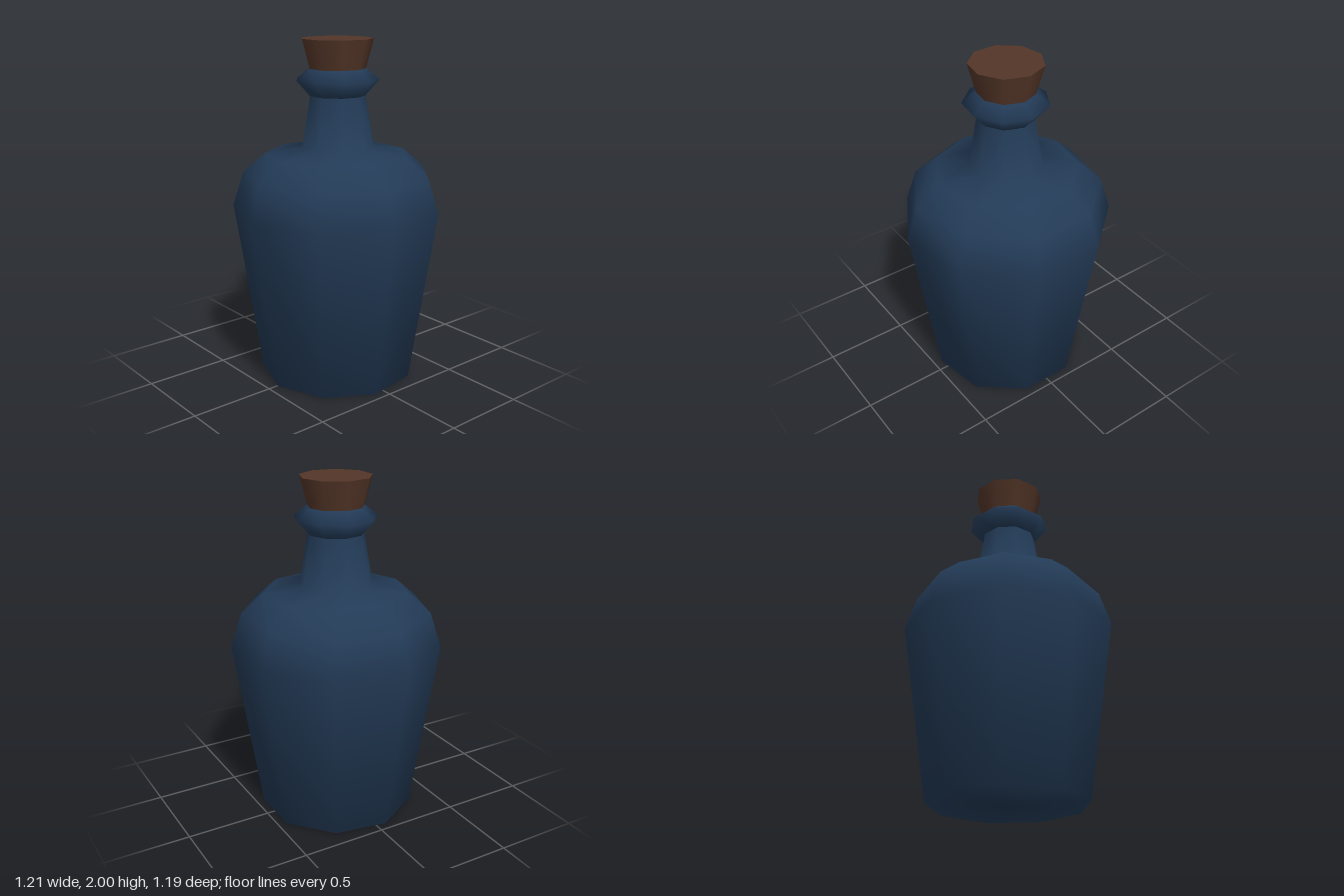
import * as THREE from 'three';

const SIDES = 9;
const CENTRE_Z = -0.019; // nine-sided rings are centred by their bounds

function lathe(profile, phase) {
  const points = profile.map(([r, y]) => new THREE.Vector2(r, y));
  return new THREE.LatheGeometry(points, SIDES, phase);
}

// Turn everything above a height by an angle, normals included
function twistAbove(geometry, height, angle) {
  const { position, normal } = geometry.attributes;
  const up = new THREE.Vector3(0, 1, 0);
  const v = new THREE.Vector3();
  for (let i = 0; i < position.count; i++) {
    if (position.getY(i) < height) continue;
    for (const attribute of [position, normal]) {
      v.fromBufferAttribute(attribute, i).applyAxisAngle(up, angle);
      attribute.setXYZ(i, v.x, v.y, v.z);
    }
  }
  return geometry;
}

export function createModel() {
  const group = new THREE.Group();
  group.name = 'corkedBottle';
  const glass = new THREE.MeshStandardMaterial({ color: 0x233b57 });
  const corkMaterial = new THREE.MeshStandardMaterial({ color: 0x543628 });

  const add = (name, geometry, material) => {
    const mesh = new THREE.Mesh(geometry, material);
    mesh.name = name;
    mesh.position.z = CENTRE_Z;
    group.add(mesh);
    return mesh;
  };

  // Base, tapered body, rounded shoulder and neck; the neck is half a side out of step
  const body = lathe([
    [0, 0], [0.457, 0], [0.614, 1.03], [0.55, 1.23],
    [0.416, 1.345], [0.213, 1.385], [0.163, 1.68],
  ], 0);
  add('bottleBody', twistAbove(body, 1.37, Math.PI / SIDES), glass);

  // Flared lip around the mouth
  add('lip', lathe([[0.163, 1.68], [0.243, 1.77], [0.163, 1.833]], Math.PI), glass);

  // Tapered stopper
  const cork = new THREE.CylinderGeometry(0.208, 0.163, 0.17, SIDES, 1, false, Math.PI);
  add('cork', cork, corkMaterial).position.y = 1.915;

  return group;
}
